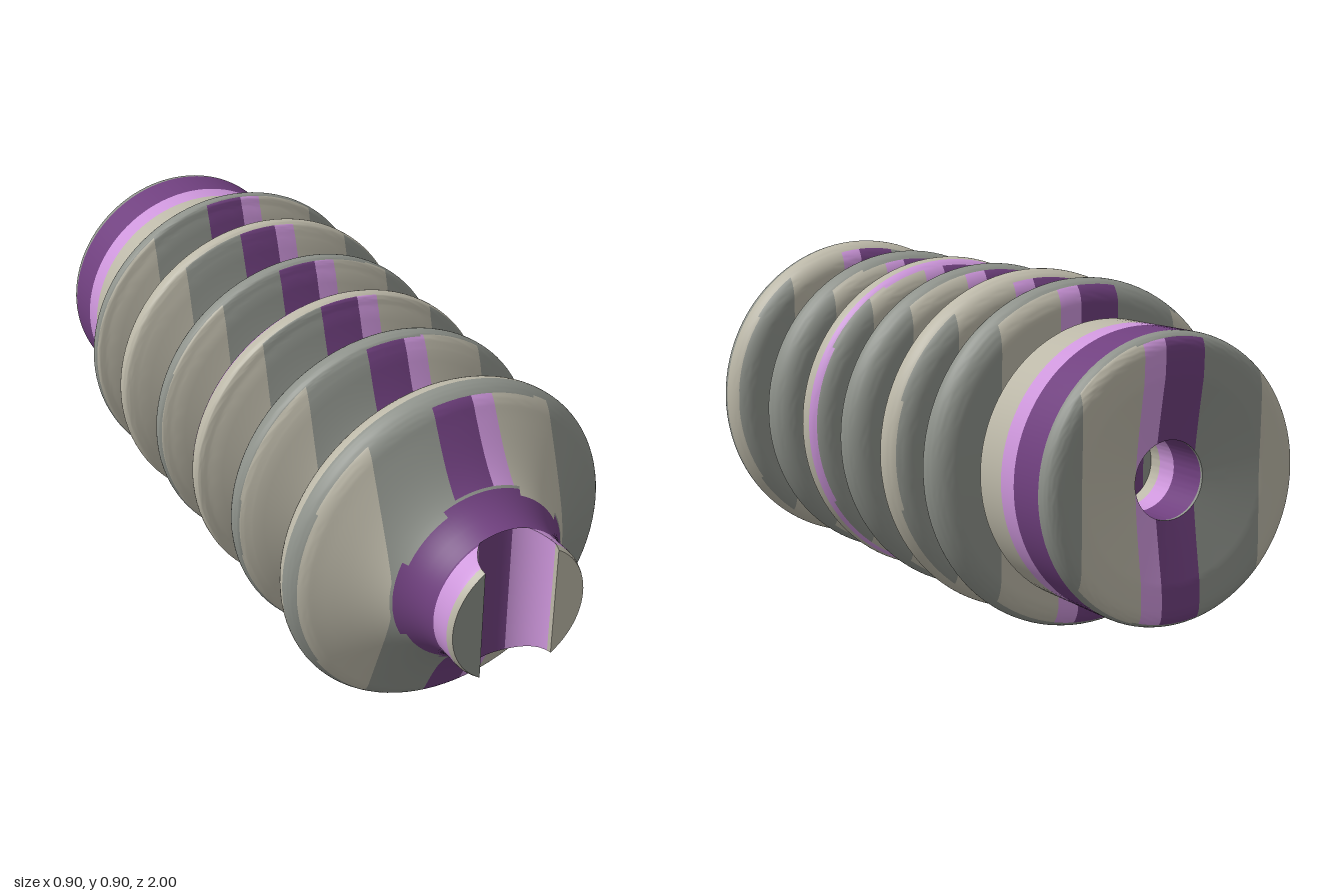
import * as THREE from 'three';
import { toCreasedNormals } from 'three/addons/utils/BufferGeometryUtils.js';

const CORE = 0.19;

// One material per flat colour
const mat = (name, color) => {
  const m = new THREE.MeshStandardMaterial({ color });
  m.name = name;
  return m;
};

// Repeating stripe pattern: [start, material index]
const PERIOD = 0.89;
const STRIPES = [[-0.072, 0], [0.035, 1], [0.093, 2], [0.257, 3], [0.43, 2], [0.65, 3]];
const BANDS = [];
for (let k = -2; k <= 2; k++) {
  STRIPES.forEach(([s, index], i) => {
    const end = i + 1 < STRIPES.length ? STRIPES[i + 1][0] : STRIPES[0][0] + PERIOD;
    BANDS.push({ from: s + k * PERIOD, to: end + k * PERIOD, index });
  });
}

// Keep the part of a polygon where sign * (u - limit) >= 0
function clip(poly, axis, limit, sign) {
  const out = [];
  poly.forEach((a, i) => {
    const b = poly[(i + 1) % poly.length];
    const da = sign * (a.p.getComponent(axis) - limit);
    const db = sign * (b.p.getComponent(axis) - limit);
    if (da >= 0) out.push(a);
    if (da * db < 0) {
      const t = da / (da - db);
      out.push({ p: a.p.clone().lerp(b.p, t), n: a.n.clone().lerp(b.n, t).normalize() });
    }
  });
  return out;
}

// Split a surface into stripes: across x on end-facing faces, along z on the rest
function paint(geometry, name, materials) {
  const geo = toCreasedNormals(geometry.toNonIndexed(), 0.6);
  const pos = geo.attributes.position, nor = geo.attributes.normal;
  const buckets = materials.map(() => ({ p: [], n: [] }));
  const e1 = new THREE.Vector3(), e2 = new THREE.Vector3();
  for (let i = 0; i < pos.count; i += 3) {
    const tri = [0, 1, 2].map((k) => ({
      p: new THREE.Vector3().fromBufferAttribute(pos, i + k),
      n: new THREE.Vector3().fromBufferAttribute(nor, i + k),
    }));
    const face = e1.subVectors(tri[1].p, tri[0].p).cross(e2.subVectors(tri[2].p, tri[0].p));
    if (face.length() < 1e-10) continue;
    const axis = Math.abs(face.z) > Math.max(Math.abs(face.x), Math.abs(face.y)) ? 0 : 2;
    const us = tri.map((v) => v.p.getComponent(axis));
    const lo = Math.min(...us), hi = Math.max(...us);
    for (const band of BANDS) {
      if (band.to <= lo || band.from > hi) continue;
      let poly = tri;
      if (band.from > lo) poly = clip(poly, axis, band.from, 1);
      if (band.to < hi) poly = clip(poly, axis, band.to, -1);
      for (let k = 1; k + 1 < poly.length; k++) {
        for (const v of [poly[0], poly[k], poly[k + 1]]) {
          buckets[band.index].p.push(v.p.x, v.p.y, v.p.z);
          buckets[band.index].n.push(v.n.x, v.n.y, v.n.z);
        }
      }
    }
  }
  const result = new THREE.BufferGeometry();
  let start = 0;
  buckets.forEach((b, i) => {
    result.addGroup(start, b.p.length / 3, i);
    start += b.p.length / 3;
  });
  result.setAttribute('position', new THREE.Float32BufferAttribute(buckets.flatMap((b) => b.p), 3));
  result.setAttribute('normal', new THREE.Float32BufferAttribute(buckets.flatMap((b) => b.n), 3));
  const mesh = new THREE.Mesh(result, materials);
  mesh.name = name;
  return mesh;
}

// Revolve a (radius, z) path around the z axis
const revolve = (path) => new THREE.LatheGeometry(path.getPoints(12), 96).rotateX(Math.PI / 2);

// Rear cap with a shallow dished face and a blind hole
function capProfile() {
  const p = new THREE.Path();
  p.moveTo(0, -0.76);
  p.lineTo(0.095, -0.76);
  p.lineTo(0.095, -0.97);
  p.quadraticCurveTo(0.18, -0.985, 0.25, -0.998);
  p.quadraticCurveTo(0.28, -1, 0.305, -1);
  p.quadraticCurveTo(0.35, -1, 0.35, -0.96);
  p.lineTo(0.35, -0.7);
  p.lineTo(CORE, -0.7);
  return p;
}

// Core section plus one shed: flat back, rounded rim, flared front slope
function shedProfile({ start, back, tip, rim, shoulder, front }) {
  const p = new THREE.Path();
  const len = front - shoulder;
  p.moveTo(CORE, start);
  p.lineTo(CORE, back);
  p.lineTo(rim - 0.065, back);
  p.bezierCurveTo(rim - 0.029, back, rim, back + 0.45 * (tip - back), rim, tip);
  p.bezierCurveTo(rim, tip + 0.022, rim - 0.018, shoulder - 0.012, 0.4, shoulder);
  p.bezierCurveTo(0.3, shoulder + 0.24 * len, 0.205, shoulder + 0.48 * len, CORE, front);
  return p;
}

// Nose stub with a round groove across its end, built from slices along x
function noseGeometry(base) {
  const groove = 0.105, slices = [];
  const edge = Math.acos(groove / CORE);
  for (let i = 0; i < 12; i++) slices.push([CORE * Math.cos((edge * i) / 12), 1]);
  for (let i = 0; i <= 24; i++) {
    const a = (Math.PI * i) / 24;
    slices.push([groove * Math.cos(a), 1 - groove * Math.sin(a)]);
  }
  for (let i = 11; i >= 0; i--) slices.push([-slices[i][0], 1]);

  const radius = (z) => CORE - 0.007 * Math.max(0, (z - 0.975) / 0.025) ** 2;
  const wall = 8, across = 6, verts = [], index = [];
  for (const [x, top] of slices) {
    const c = x / CORE, s = Math.sqrt(Math.max(0, 1 - c * c));
    const side = [];
    for (let k = 0; k <= wall; k++) {
      const z = base + (top - base) * (1 - (1 - k / wall) ** 1.5);
      side.push([radius(z) * c, radius(z) * s, z]);
    }
    const [ex, ey, ez] = side[wall];
    const ring = [...side];
    for (let k = 1; k < across; k++) ring.push([ex, ey * (1 - (2 * k) / across), ez]);
    side.reverse().forEach(([px, py, pz]) => ring.push([px, -py, pz]));
    verts.push(...ring.flat());
  }
  const n = 2 * wall + across + 1;
  for (let i = 0; i + 1 < slices.length; i++) {
    for (let j = 0; j + 1 < n; j++) {
      const a = i * n + j, b = a + n;
      index.push(a, b, a + 1, b, b + 1, a + 1);
    }
  }
  const geo = new THREE.BufferGeometry();
  geo.setAttribute('position', new THREE.Float32BufferAttribute(verts, 3));
  geo.setIndex(index);
  return geo;
}

export function createModel() {
  const materials = [
    mat('dark purple', 0x70407f),
    mat('light purple', 0xcd96db),
    mat('warm beige', 0xbcb8a8),
    mat('stone grey', 0x8e928b),
  ];
  const model = new THREE.Group();
  model.name = 'ribbedInsulator';

  model.add(paint(revolve(capProfile()), 'rearCap', materials));

  // Sheds from rear to front
  const sheds = [
    [-0.641, -0.587, 0.44, -0.56, -0.45],
    [-0.428, -0.368, 0.445, -0.335, -0.215],
    [-0.182, -0.125, 0.44, -0.095, 0.015],
    [0.053, 0.118, 0.44, 0.145, 0.265],
    [0.293, 0.355, 0.44, 0.392, 0.535],
    [0.585, 0.655, 0.45, 0.715, 0.92],
  ];
  let start = -0.7;
  sheds.forEach(([back, tip, rim, shoulder, front], i) => {
    const profile = shedProfile({ start, back, tip, rim, shoulder, front });
    model.add(paint(revolve(profile), `shed${i + 1}`, materials));
    start = front;
  });

  // The groove reaches below the last shed's foot, so the stub starts inside it
  model.add(paint(noseGeometry(0.88), 'groovedNose', materials));

  model.children.forEach((part) => { part.position.y = 0.45; });
  return model;
}
